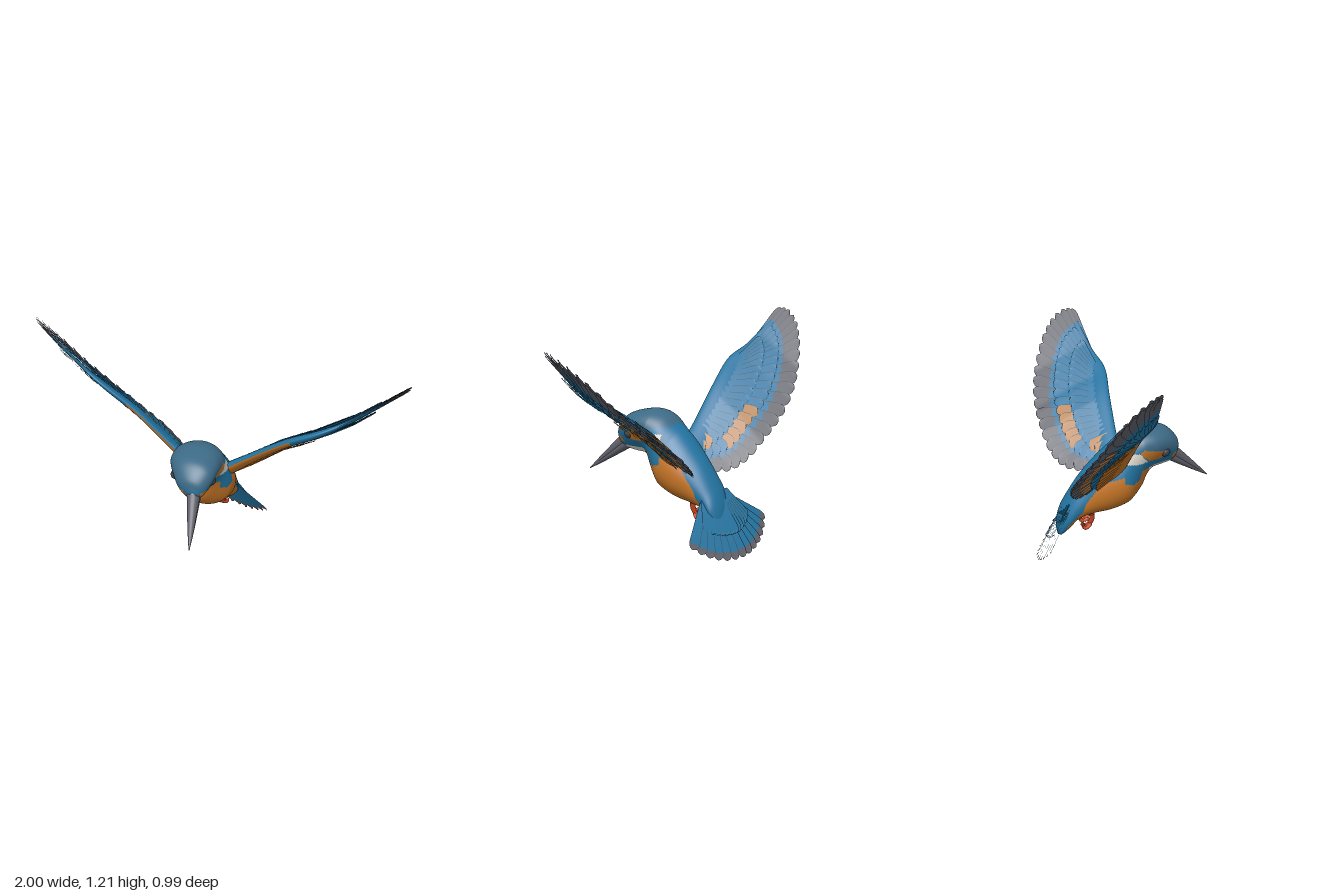
import * as THREE from 'three';
import { mergeVertices } from 'three/addons/utils/BufferGeometryUtils.js';

const V = (x, y, z) => new THREE.Vector3(x, y, z);

function paint(name, color) {
  const m = new THREE.MeshStandardMaterial({ color, side: THREE.DoubleSide });
  m.name = name;
  return m;
}
const blue = paint('blue', 0x2273a0), crown = paint('crownBlue', 0x3d6a86);
const orange = paint('orange', 0xc47426), tan = paint('tan', 0xb5804f);
const grey = paint('grey', 0x5e5f68), charcoal = paint('charcoal', 0x3e434a);
const white = paint('cream', 0xd8d2c6), red = paint('footRed', 0xd04a25);

// Piecewise linear lookup in [x, y] pairs with rising x
function lookup(pts, x) {
  for (let i = 1; i < pts.length; i++) {
    const [x0, y0] = pts[i - 1], [x1, y1] = pts[i];
    if (x <= x1 || i === pts.length - 1) return y0 + (y1 - y0) * (x - x0) / (x1 - x0);
  }
}

// Is (x, y) inside a polygon of corner pairs?
function inside(poly, x, y) {
  let hit = false;
  poly.forEach(([x0, y0], i) => {
    const [x1, y1] = poly[(i + 1) % poly.length];
    if ((y0 > y) !== (y1 > y) && x < x0 + (x1 - x0) * (y - y0) / (y1 - y0)) hit = !hit;
  });
  return hit;
}

// One mesh from grid patches {at(t, s), rows, cols, pick(point, t, s)}
function surface(name, patches) {
  const pos = [], buckets = new Map();
  for (const { at, rows, cols, pick } of patches) {
    const start = pos.length / 3;
    for (let i = 0; i <= rows; i++)
      for (let j = 0; j <= cols; j++) pos.push(...at(i / rows, j / cols).toArray());
    for (let i = 0; i < rows; i++)
      for (let j = 0; j < cols; j++) {
        const t = (i + 0.5) / rows, s = (j + 0.5) / cols;
        const mat = pick(at(t, s), t, s);
        if (!buckets.has(mat)) buckets.set(mat, []);
        const a = start + i * (cols + 1) + j, b = a + cols + 1;
        buckets.get(mat).push(a, b, a + 1, a + 1, b, b + 1);
      }
  }
  let geo = new THREE.BufferGeometry();
  geo.setAttribute('position', new THREE.Float32BufferAttribute(pos, 3));
  const index = [], mats = [];
  for (const [mat, list] of buckets) {
    geo.addGroup(index.length, list.length, mats.length);
    mats.push(mat);
    for (const k of list) index.push(k);
  }
  geo.setIndex(index);
  geo = mergeVertices(geo, 1e-5);
  geo.computeVertexNormals();
  const mesh = new THREE.Mesh(geo, mats);
  mesh.name = name;
  return mesh;
}

// Smooth skin through rings [centre, side axis, up axis]; skew widens the upper half
function loft(name, rings, rows, cols, pick, skew = [[0, 0], [1, 0]]) {
  const [c, a, b] = [0, 1, 2].map(k =>
    new THREE.CatmullRomCurve3(rings.map(r => r[k]), false, 'catmullrom', 0.5));
  const at = (t, s) => {
    const q = s * Math.PI * 2, w = Math.cos(q) * (1 + lookup(skew, t) * Math.sin(q));
    return c.getPoint(t).addScaledVector(a.getPoint(t), w).addScaledVector(b.getPoint(t), Math.sin(q));
  };
  return surface(name, [{ at, rows, cols, pick }]);
}

// Round-tipped blade with a thin dark rim, laid on a sheet map(u, v, lift)
function feather(map, base, tip, width, lift, mat, tipMat, split) {
  const du = tip[0] - base[0], dv = tip[1] - base[1], len = Math.hypot(du, dv);
  const along = t => 1 - (1 - t) ** 1.9;
  const at = (row, col) => {
    const t = along(row), s = 1 - (1 - col) ** 1.9;
    const round = t > 0.84 ? Math.sqrt(Math.max(0, 1 - ((t - 0.84) / 0.16) ** 2)) : 1;
    const w = width * (0.5 + 0.5 * t) * round * (s - 0.5);
    return map(base[0] + du * t - dv / len * w, base[1] + dv * t + du / len * w, lift + (s - 0.5) * 0.008);
  };
  const pick = (p, row, col) => (col > 0.8 && row > 0.2 ? charcoal : along(row) > split ? tipMat : mat);
  return { at, rows: 12, cols: 5, pick };
}

// Head and trunk: [top z, top y, bottom z, bottom y, half width, x]
const TRUNK = [
  [0.30, 0.56, 0.295, 0.52, 0.015, 0.025], [0.285, 0.62, 0.25, 0.488, 0.068, 0.01],
  [0.23, 0.68, 0.20, 0.475, 0.1, 0], [0.16, 0.705, 0.14, 0.465, 0.12, -0.015],
  [0.08, 0.713, 0.11, 0.43, 0.126, -0.02], [0, 0.69, 0.085, 0.375, 0.133, -0.02],
  [-0.06, 0.64, 0.04, 0.325, 0.148, -0.02], [-0.12, 0.59, -0.01, 0.29, 0.153, -0.02],
  [-0.18, 0.53, -0.09, 0.26, 0.14, -0.015], [-0.25, 0.45, -0.18, 0.243, 0.115, -0.01],
  [-0.31, 0.36, -0.26, 0.22, 0.1, -0.01], [-0.35, 0.285, -0.31, 0.17, 0.092, -0.005],
  [-0.372, 0.215, -0.352, 0.125, 0.06, 0], [-0.378, 0.165, -0.37, 0.12, 0.015, 0],
];
const SKEW = [[0, 0], [0.14, 0.42], [0.33, 0.42], [0.5, -0.12], [0.8, -0.1], [1, 0]];
const FLANK = [[-0.4, 0.1], [-0.345, 0.14], [-0.33, 0.2], [-0.25, 0.29], [-0.24, 0.33], [-0.155, 0.45],
  [0, 0.5], [0.1, 0.5]];
// Face markings as [z, y] outlines
const EAR = [[0.19, 0.56], [0.16, 0.547], [0.1, 0.553], [0.045, 0.603], [0.066, 0.622], [0.14, 0.605], [0.19, 0.6]];
const NECK = [[0.09, 0.55], [0.03, 0.543], [-0.03, 0.55], [-0.03, 0.6], [0.045, 0.603]];
const LORE = [[0.235, 0.53], [0.30, 0.525], [0.30, 0.55], [0.255, 0.565]];
const THROAT = [[0.30, 0.515], [0.2, 0.505], [0.105, 0.507], [0.11, 0.47], [0.15, 0.455], [0.25, 0.455]];
const SHOULDER = [[0.2, 0.508], [0.06, 0.5], [0.05, 0.45], [0.01, 0.435], [-0.04, 0.45], [-0.04, 0.6], [0.2, 0.6]];

function plumage({ x, y, z }) {
  const out = Math.abs(x + 0.015);
  if (z > -0.05 && y > lookup([[-0.05, 0.64], [0.07, 0.624], [0.2, 0.6], [0.3, 0.572]], z)) return crown;
  if (inside(LORE, z, y)) return Math.abs(x - 0.015) > 0.045 ? orange : grey;
  if (inside(EAR, z, y)) return orange;
  if (inside(NECK, z, y) || inside(THROAT, z, y)) return white;
  if (out > 0.085 && inside(SHOULDER, z, y)) return blue;
  return y < lookup(FLANK, z) ? orange : blue;
}

// Wing plan in [outward, z]: leading edge, feather roots and feather tips
const LEAD = [[0.08, 0], [0.3, 0], [0.45, 0.02], [0.58, 0.03], [0.7, -0.005], [0.9, -0.06]];
const curve2 = pts => new THREE.CatmullRomCurve3(pts.map(p => V(p[0], p[1], 0)), false, 'catmullrom', 0.5);
const ROOTS = curve2([[0.64, -0.01], [0.6, -0.035], [0.56, -0.05], [0.48, -0.06], [0.38, -0.07],
  [0.28, -0.07], [0.2, -0.06], [0.1, -0.04]]);
const TIPS = curve2([[0.98, -0.085], [1, -0.13], [0.985, -0.195], [0.94, -0.25], [0.87, -0.3], [0.78, -0.345],
  [0.68, -0.375], [0.56, -0.39], [0.44, -0.385], [0.33, -0.37], [0.24, -0.335], [0.17, -0.28], [0.12, -0.2]]);

// rise: height along the wing; pitch: how steeply the chord drops backward
function wing(name, side, rise, pitch, zScale) {
  const g = new THREE.Group();
  g.name = name;
  const map = (u, z, lift) =>
    V(side * u, lookup(rise, u) + lookup(pitch, u) * z + lift, z * zScale - (1 - zScale) * 0.25);
  const N = 22;
  // reach and mat are functions of the feather number, counted from the wing tip
  const row = (label, from, to, reach, width, lift, mat, tipMat, split) => {
    const blades = [];
    for (let i = from; i <= to; i++) {
      const b = ROOTS.getPoint(i / (N - 1)), e = TIPS.getPoint(i / (N - 1)), r = reach(i);
      blades.push(feather(map, [b.x, b.y], [b.x + (e.x - b.x) * r, b.y + (e.y - b.y) * r],
        width * (i < 6 ? 0.8 : 1), lift + i * 0.0006, mat(i), tipMat, split));
    }
    g.add(surface(label, blades));
  };
  const all = v => () => v;
  row('flightFeathers', 0, N - 1, all(1), 0.06, 0, all(blue), grey, 0.73);
  row('flightFeatherUndersides', 0, N - 1, all(0.985), 0.06, -0.01, all(blue), grey, 0.68);
  row('greaterCoverts', 2, N - 1, all(0.66), 0.056, 0.013, i => (i > 12 && i < 18 ? tan : blue), blue, 1);
  row('lesserCoverts', 2, N - 1, all(0.42), 0.058, 0.022, i => (i > 18 && i < 21 ? tan : blue), blue, 1);
  row('underCoverts', 0, N - 1, all(0.6), 0.05, -0.026, all(blue), blue, 1);
  row('underStreaks', 8, 18, all(0.84), 0.018, -0.02, all(tan), tan, 1);
  row('wingLining', 9, N - 1, i => 0.24 + (i - 9) * 0.031, 0.062, -0.04, all(orange), orange, 1);

  // Fleshy leading edge, orange beneath near the body
  const rings = [[0.06, 0.075, 0.048], [0.2, 0.065, 0.036], [0.4, 0.058, 0.028], [0.58, 0.05, 0.022],
    [0.72, 0.03, 0.012], [0.9, 0.012, 0.004]].map(([u, chord, thick]) =>
    [map(u, lookup(LEAD, u) - chord, 0), V(0, side * lookup(pitch, u) * chord, side * chord), V(0, thick, 0)]);
  g.add(loft('wingArm', rings, 40, 24, (p, t, s) => (s > 0.5 && Math.abs(p.x) < 0.44 ? orange : blue)));
  return g;
}

function tail() {
  const g = new THREE.Group();
  g.name = 'tail';
  const axis = V(0, -0.86, -0.51), across = V(0.97, -0.12, 0.2), up = V(0, 0.51, -0.86);
  const map = (u, v, lift) => V(0, 0.27, -0.31).addScaledVector(across, u)
    .addScaledVector(axis, v).addScaledVector(up, lift);
  const fan = (label, start, length, spread, lift, tipMat) => {
    const blades = [];
    for (let i = 0; i < 13; i++) {
      const k = i / 6 - 1, q = k * spread;
      blades.push(feather(map, [k * 0.075, start], [Math.sin(q) * length, Math.cos(q) * length], 0.062,
        lift - Math.abs(k) * 0.022, blue, tipMat, 0.88));
    }
    g.add(surface(label, blades));
  };
  fan('tailFan', -0.02, 0.315, 0.96, 0.02, grey);
  fan('tailCoverts', -0.04, 0.19, 0.8, 0.034, blue);
  return g;
}

function foot(side) {
  const g = new THREE.Group();
  g.name = side > 0 ? 'leftFoot' : 'rightFoot';
  const x = -0.015 + side * 0.045;
  const limb = (name, pts, r) => {
    const m = new THREE.Mesh(new THREE.TubeGeometry(new THREE.CatmullRomCurve3(pts), 12, r, 8), red);
    m.name = name;
    g.add(m);
  };
  limb('leg', [V(x + side * 0.02, 0.26, -0.2), V(x + side * 0.01, 0.225, -0.197), V(x, 0.2, -0.205)], 0.014);
  for (const k of [-1, 0, 1])
    limb('toe', [V(x, 0.205, -0.2), V(x + k * 0.012, 0.185, -0.212), V(x + k * 0.018, 0.176, -0.235),
      V(x + k * 0.016, 0.188, -0.246)], 0.01);
  limb('hindToe', [V(x, 0.207, -0.203), V(x, 0.22, -0.222), V(x, 0.21, -0.236)], 0.009);
  return g;
}

export function createModel() {
  const bird = new THREE.Group();
  bird.name = 'bird';
  const trunk = TRUNK.map(([tz, ty, bz, by, w, x]) =>
    [V(x, (ty + by) / 2, (tz + bz) / 2), V(w, 0, 0), V(0, (ty - by) / 2, (tz - bz) / 2)]);
  bird.add(loft('body', trunk, 220, 140, plumage, SKEW));
  // Dagger bill, two mandibles meeting at the tip
  const bill = (name, drop, thick) => loft(name, [[0, 1], [0.35, 0.72], [0.7, 0.4], [1, 0.06]].map(([t, r]) =>
    [V(0.015 + 0.055 * t, 0.55 - drop * (1 - t) - 0.203 * t, 0.25 + 0.24 * t),
      V(-0.038 * r, 0, 0), V(0, thick * r, thick * r * 0.7)]), 20, 20, () => grey);
  bird.add(bill('upperBill', 0, 0.029), bill('lowerBill', 0.036, 0.023));
  for (const side of [-1, 1]) {
    const eye = new THREE.Mesh(new THREE.SphereGeometry(0.025, 24, 16), charcoal);
    eye.name = side > 0 ? 'leftEye' : 'rightEye';
    eye.position.set(-0.008 + side * 0.096, 0.582, 0.192);
    bird.add(eye, foot(side));
  }
  bird.add(
    wing('leftWing', 1, [[0.06, 0.51], [0.17, 0.59], [0.38, 0.73], [0.54, 0.805], [0.75, 0.94], [1, 1.15]],
      [[0, 0.58], [0.2, 0.56], [0.5, 0.42], [1, 0.4]], 1),
    wing('rightWing', -1, [[0.06, 0.49], [0.175, 0.585], [0.36, 0.76], [0.63, 0.95], [0.8, 1.08], [1, 1.275]],
      [[0, 0.64], [1, 0.62]], 0.9),
    tail());
  return bird;
}
